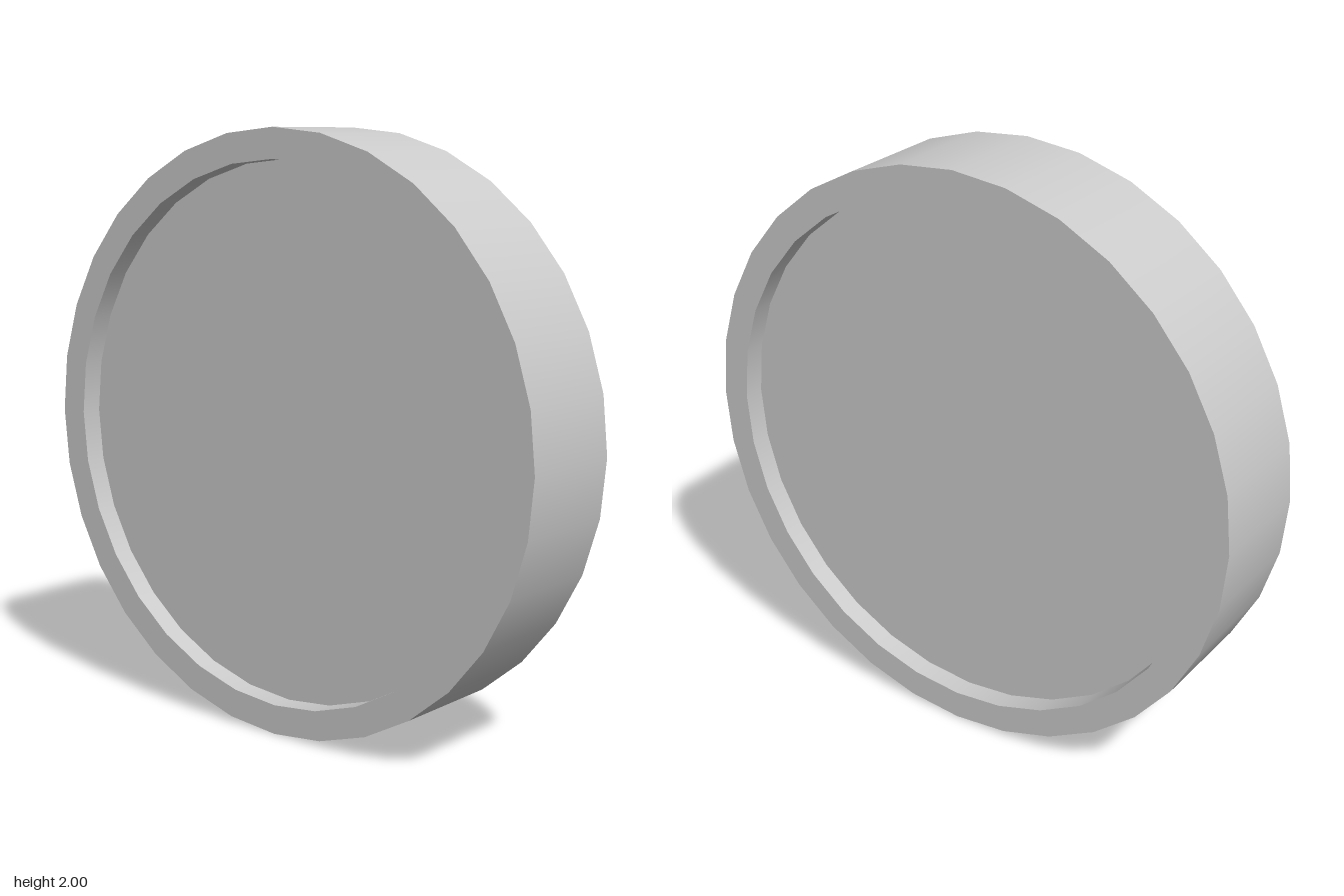
import * as THREE from 'three';
import { mergeGeometries } from 'three/addons/utils/BufferGeometryUtils.js';

const SIDES = 32;
const OUTER = 1, INNER = 0.9;
const HALF = 0.204;   // half depth of the rim
const FLOOR = 0.129;  // distance of each recessed face from the middle

// Band swept around the axis; separate bands keep the edges crisp
const band = (r0, y0, r1, y1) => new THREE.LatheGeometry(
  [new THREE.Vector2(r0, y0), new THREE.Vector2(r1, y1)], SIDES);

export function createModel() {
  const group = new THREE.Group();
  group.name = 'disc';
  const material = new THREE.MeshStandardMaterial({ color: 0xcccccc });

  // Rim: outer wall, both ring faces and the inner walls down to the recesses
  const rimGeometry = mergeGeometries([
    band(OUTER, -HALF, OUTER, HALF),
    band(OUTER, HALF, INNER, HALF),
    band(INNER, HALF, INNER, FLOOR),
    band(INNER, -FLOOR, INNER, -HALF),
    band(INNER, -HALF, OUTER, -HALF),
  ]);
  rimGeometry.rotateX(Math.PI / 2);
  const rim = new THREE.Mesh(rimGeometry, material);
  rim.name = 'rim';
  rim.position.y = OUTER;
  group.add(rim);

  // Recessed faces, front and back
  for (const side of [1, -1]) {
    const face = new THREE.Mesh(new THREE.CircleGeometry(INNER, SIDES), material);
    face.name = side > 0 ? 'frontFace' : 'backFace';
    face.position.set(0, OUTER, side * FLOOR);
    if (side < 0) face.rotation.y = Math.PI;
    group.add(face);
  }
  return group;
}
